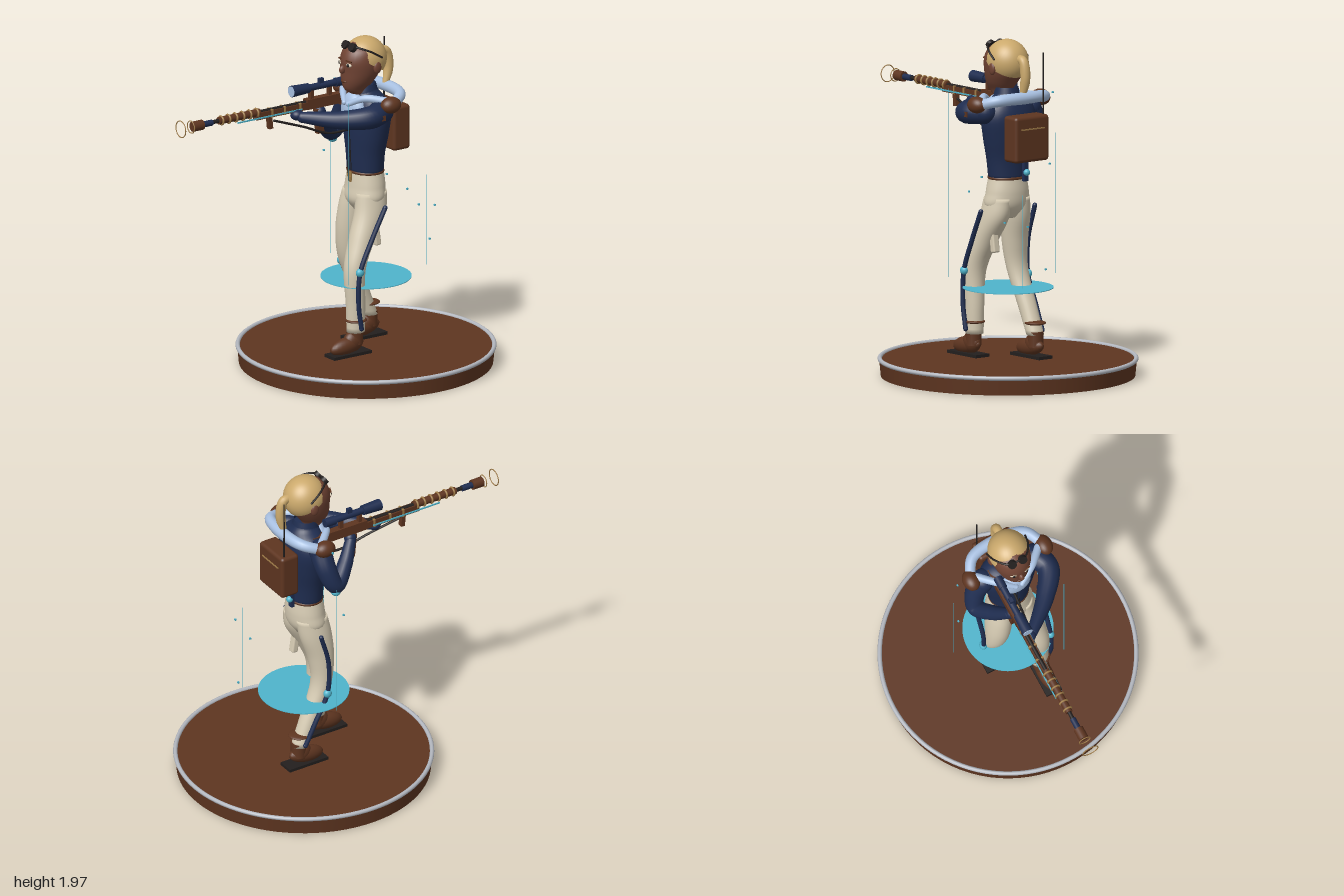
import * as THREE from 'three';
import { RoundedBoxGeometry } from 'three/addons/geometries/RoundedBoxGeometry.js';

const mat = (name, color) => Object.assign(new THREE.MeshStandardMaterial({ color, side: THREE.DoubleSide }), { name });
const V = (p) => new THREE.Vector3(...p);

export function createModel() {
  const navy = mat('navy cloth', 0x1f2d50), brown = mat('brown leather', 0x5e3520), skin = mat('skin', 0x704333);
  const blonde = mat('blonde hair', 0xcba96c), cream = mat('cream cloth', 0xd6cbb3), pale = mat('pale blue', 0xa9c1e2);
  const cyan = mat('cyan', 0x4fb4cc), black = mat('black', 0x231f1e), silver = mat('silver', 0xb4b8c0);
  const gold = mat('gold', 0xa07c48);
  const root = new THREE.Group();
  root.name = 'marksman';

  const add = (name, geo, material, pos = [0, 0, 0], rot = [0, 0, 0], scale = [1, 1, 1]) => {
    const m = new THREE.Mesh(geo, material);
    m.name = name;
    m.position.set(...pos);
    m.rotation.set(...rot);
    m.scale.set(...scale);
    root.add(m);
    return m;
  };
  const box = (name, size, material, pos, rot) => add(name, new THREE.BoxGeometry(...size), material, pos, rot);
  const ball = (name, r, material, pos, rot) => add(name, new THREE.SphereGeometry(1, 24, 16), material, pos, rot, r);
  // Cylinder lying along z, from z0 to z1
  const rod = (name, x, y, z0, z1, r, material, r1 = r) =>
    add(name, new THREE.CylinderGeometry(r1, r, z1 - z0, 20), material, [x, y, (z0 + z1) / 2], [Math.PI / 2, 0, 0]);
  const ring = (name, r, t, material, pos, rot) => add(name, new THREE.TorusGeometry(r, t, 8, 40), material, pos, rot);

  // Smooth body from horizontal ellipses [x, y, z, rx, rz], listed upwards
  const loft = (name, sections, material, n = 28, steps = 28) => {
    const mid = new THREE.CatmullRomCurve3(sections.map((s) => V(s.slice(0, 3))), false, 'catmullrom');
    const rad = new THREE.CatmullRomCurve3(sections.map((s) => V([s[3], s[4], 0])), false, 'catmullrom');
    const pos = [], idx = [];
    for (let i = 0; i <= steps; i++) {
      const c = mid.getPoint(i / steps), r = rad.getPoint(i / steps);
      for (let j = 0; j < n; j++) {
        const a = (j / n) * Math.PI * 2, k = (j + 1) % n;
        pos.push(c.x + r.x * Math.cos(a), c.y, c.z + r.y * Math.sin(a));
        if (i < steps) {
          const p = i * n + j, q = i * n + k;
          idx.push(p, p + n, q, q, p + n, q + n);
        }
      }
    }
    const last = steps * n, lo = (steps + 1) * n;
    pos.push(...sections[0].slice(0, 3), ...sections[sections.length - 1].slice(0, 3));
    for (let j = 0; j < n; j++) {
      const k = (j + 1) % n;
      idx.push(lo, j, k, lo + 1, last + k, last + j);
    }
    const g = new THREE.BufferGeometry();
    g.setAttribute('position', new THREE.Float32BufferAttribute(pos, 3));
    g.setIndex(idx);
    g.computeVertexNormals();
    return add(name, g, material);
  };

  // Round tube along a path, its radius following a list, with rounded ends
  const limb = (name, pts, radii, material, ends = true, sides = 16) => {
    const steps = 36, curve = new THREE.CatmullRomCurve3(pts.map(V));
    const g = new THREE.TubeGeometry(curve, steps, 1, sides), p = g.attributes.position, nn = g.attributes.normal;
    for (let v = 0; v < p.count; v++) {
      const u = Math.floor(v / (sides + 1)) / steps, f = u * (radii.length - 1), i = Math.min(Math.floor(f), radii.length - 2);
      const r = radii.length > 1 ? THREE.MathUtils.lerp(radii[i], radii[i + 1], f - i) : radii[0];
      const c = curve.getPointAt(u);
      p.setXYZ(v, c.x + nn.getX(v) * r, c.y + nn.getY(v) * r, c.z + nn.getZ(v) * r);
    }
    add(name, g, material);
    if (ends) [[0, 0], [pts.length - 1, radii.length - 1]].forEach(([a, b]) => {
      ball(name + 'End', [radii[b], radii[b], radii[b]], material, pts[a]);
    });
  };

  // Display base
  const cz = -0.245;
  add('base', new THREE.CylinderGeometry(0.748, 0.738, 0.1, 80), brown, [0, 0.05, cz]);
  add('baseRim', new THREE.TorusGeometry(0.744, 0.013, 10, 96), silver, [0, 0.1, cz], [Math.PI / 2, 0, 0]);

  // Floating disc, thin beams and sparks
  add('floatingDisc', new THREE.CylinderGeometry(0.265, 0.265, 0.004, 64), cyan, [0, 0.518, cz]);
  [[-0.355, -0.245, 1.39], [0.22, 0.035, 1.67], [0.15, -0.568, 1.11]].forEach(([x, z, top]) =>
    add('beam', new THREE.CylinderGeometry(0.002, 0.002, top - 0.565, 6), cyan, [x, (top + 0.565) / 2, z]));
  [[-0.325, 1.63, -0.255], [0.335, 1.12, -0.3], [0.265, 0.96, -0.545], [0.055, 0.68, -0.66], [0.2, 1.185, -0.25],
    [0.1, 0.92, -0.55], [-0.35, 1.2, -0.195]].forEach((p) => box('spark', [0.01, 0.01, 0.01], cyan, p));

  // Trousers
  const thigh = (s) => [[s * 0.095, 0.78, s > 0 ? -0.145 : -0.19, 0.075, 0.08], [s * 0.08, 0.93, -0.215, 0.077, 0.1], [s * 0.065, 1.05, -0.235, 0.07, 0.1]];
  loft('leftLeg', [[0.12, 0.24, -0.085, 0.052, 0.054], [0.12, 0.4, -0.085, 0.055, 0.058], [0.113, 0.61, -0.083, 0.065, 0.064], ...thigh(1)], cream);
  loft('rightLeg', [[-0.118, 0.24, -0.35, 0.052, 0.05], [-0.115, 0.4, -0.283, 0.055, 0.056], [-0.108, 0.61, -0.198, 0.065, 0.06], ...thigh(-1)], cream);
  loft('hips', [[0, 0.93, -0.23, 0.05, 0.06], [0, 1.0, -0.23, 0.14, 0.105], [0, 1.08, -0.238, 0.136, 0.108], [0, 1.17, -0.24, 0.118, 0.1]], cream);

  // Side stripes, knee studs, ankle straps and boots
  limb('leftStripe', [[0.198, 0.98, -0.24], [0.192, 0.8, -0.15], [0.187, 0.61, -0.07], [0.186, 0.42, -0.06], [0.184, 0.27, -0.082]], [0.014], navy, true, 8);
  limb('rightStripe', [[-0.196, 0.98, -0.25], [-0.19, 0.78, -0.195], [-0.184, 0.575, -0.2], [-0.18, 0.4, -0.28], [-0.175, 0.26, -0.345]], [0.014], navy, true, 8);
  ball('leftKneeStud', [0.022, 0.026, 0.026], cyan, [0.186, 0.613, -0.07]);
  ball('rightKneeStud', [0.022, 0.026, 0.026], cyan, [-0.186, 0.575, -0.2]);
  [[0.123, -0.03, -0.085], [-0.117, -0.315, -0.36]].forEach(([x, z, ankle], i) => {
    ball('ankleStrap', [0.062, 0.014, 0.066], brown, [x, 0.31, i ? ankle + 0.01 : ankle]);
    box('sole', [0.1, 0.018, 0.265], black, [x, 0.115, z]);
    ball('bootToe', [0.046, 0.05, 0.115], brown, [x, 0.165, z + 0.01], [0.14, 0, 0]);
    ball('bootHeel', [0.046, 0.062, 0.065], brown, [x, 0.185, ankle + 0.02]);
    add('bootShaft', new THREE.CylinderGeometry(0.046, 0.046, 0.09, 20), brown, [x, 0.215, ankle + 0.005]);
  });
  add('thighPouch', new RoundedBoxGeometry(0.045, 0.13, 0.04, 2, 0.01), cream, [0.1, 0.795, -0.243], [0.15, 0, 0]);

  // Jacket, belt and zip
  loft('jacket', [[0, 1.16, -0.24, 0.12, 0.099], [0, 1.28, -0.24, 0.135, 0.104], [0, 1.4, -0.245, 0.162, 0.115], [0, 1.52, -0.25, 0.18, 0.118],
    [0, 1.6, -0.25, 0.15, 0.098], [0, 1.645, -0.24, 0.085, 0.078], [0, 1.67, -0.235, 0.07, 0.07]], navy);
  add('belt', new THREE.TorusGeometry(1, 0.06, 8, 48), brown, [0, 1.167, -0.24], [Math.PI / 2, 0, 0], [0.117, 0.098, 0.15]);
  box('buckle', [0.04, 0.035, 0.012], gold, [-0.01, 1.152, -0.137]);
  box('buckleTag', [0.024, 0.03, 0.01], gold, [0, 1.125, -0.13]);
  limb('zip', [[0, 1.18, -0.139], [0, 1.28, -0.134], [0, 1.4, -0.129], [0, 1.5, -0.131]], [0.003], black, false, 6);
  limb('cord', [[0.01, 1.31, -0.122], [0.01, 1.22, -0.11], [0.01, 1.12, -0.115]], [0.003], black, false, 6);
  add('collar', new THREE.CylinderGeometry(0.066, 0.078, 0.05, 28, 1, true), navy, [0, 1.67, -0.235]);

  // Scarf in front and shawl roll round the back of the shoulders
  ball('scarf', [0.1, 0.115, 0.062], pale, [0, 1.535, -0.16]);
  limb('shawl', [[-0.235, 1.61, -0.27], [-0.17, 1.64, -0.365], [0, 1.645, -0.395], [0.17, 1.64, -0.365], [0.235, 1.61, -0.27]], [0.03, 0.034, 0.036, 0.034, 0.03], pale);
  [-1, 1].forEach((s) => {
    limb('scarfEdge', [[s * 0.2, 1.625, -0.25], [s * 0.11, 1.635, -0.16], [s * 0.02, 1.59, -0.105]], [0.024, 0.022, 0.015], pale);
    ball('shoulderPad', [0.05, 0.048, 0.065], brown, [s * 0.238, 1.612, -0.252], [0, 0, -s * 0.5]);
  });

  // Arms
  limb('leftArm', [[0.165, 1.56, -0.24], [0.205, 1.55, -0.14], [0.11, 1.535, 0.01], [-0.055, 1.54, 0.17]], [0.07, 0.066, 0.056, 0.045, 0.032], navy);
  ball('leftHand', [0.04, 0.032, 0.04], navy, [-0.085, 1.55, 0.185]);
  limb('rightArm', [[-0.165, 1.56, -0.24], [-0.222, 1.45, -0.23], [-0.245, 1.345, -0.18], [-0.185, 1.42, -0.08], [-0.12, 1.52, 0]], [0.068, 0.06, 0.05, 0.044, 0.032], navy);
  ball('rightHand', [0.034, 0.038, 0.036], navy, [-0.11, 1.53, 0.005]);
  ball('elbowStud', [0.028, 0.024, 0.028], cyan, [-0.25, 1.302, -0.185]);
  box('armPatch', [0.01, 0.03, 0.05], brown, [0.262, 1.55, -0.17], [0, -0.1, 0]);

  // Head and face
  loft('head', [[0, 1.64, -0.2, 0.05, 0.055], [0, 1.672, -0.178, 0.058, 0.078], [0, 1.72, -0.188, 0.086, 0.103], [0, 1.78, -0.207, 0.107, 0.124],
    [0, 1.85, -0.218, 0.115, 0.136], [0, 1.91, -0.225, 0.099, 0.117], [0, 1.95, -0.23, 0.05, 0.07]], skin);
  ball('nose', [0.016, 0.026, 0.022], skin, [0, 1.8, -0.078], [-0.3, 0, 0]);
  ball('lips', [0.026, 0.009, 0.01], brown, [0, 1.726, -0.087]);
  [-1, 1].forEach((s) => {
    ball('eyeWhite', [0.02, 0.011, 0.008], cream, [s * 0.043, 1.832, -0.092], [0, s * 0.35, 0]);
    ball('iris', [0.009, 0.01, 0.005], black, [s * 0.043, 1.832, -0.085], [0, s * 0.35, 0]);
    box('eyebrow', [0.04, 0.007, 0.008], brown, [s * 0.044, 1.856, -0.09], [0, s * 0.35, -s * 0.12]);
    ball('ear', [0.014, 0.036, 0.026], skin, [s * 0.117, 1.81, -0.243]);
    // Goggles pushed up on the hair
    add('goggleLens', new THREE.CylinderGeometry(0.025, 0.027, 0.024, 20), black, [s * 0.034, 1.932, -0.125], [1.0, 0, 0]);
  });
  add('hair', new THREE.SphereGeometry(1, 36, 24, 0, Math.PI * 2, 0, Math.PI * 0.57), blonde, [0, 1.845, -0.238], [-0.52, 0, 0], [0.122, 0.128, 0.13]);
  limb('goggleStrap', [[-0.125, 1.87, -0.27], [-0.108, 1.912, -0.2], [-0.055, 1.938, -0.135], [0.055, 1.938, -0.135], [0.108, 1.912, -0.2], [0.125, 1.87, -0.27]], [0.006], black, true, 8);
  limb('ponytail', [[0, 1.87, -0.345], [0, 1.86, -0.385], [0, 1.77, -0.405], [0, 1.64, -0.378]], [0.025, 0.03, 0.028, 0.014], blonde);

  // Backpack with flap trim, antenna and hanging strap
  add('backpack', new RoundedBoxGeometry(0.25, 0.27, 0.12, 3, 0.02), brown, [0, 1.415, -0.415]);
  box('packTrim', [0.17, 0.008, 0.006], gold, [0, 1.475, -0.476]);
  add('antenna', new THREE.CylinderGeometry(0.004, 0.005, 0.39, 8), black, [-0.1, 1.715, -0.445]);
  box('packStrap', [0.03, 0.14, 0.02], navy, [-0.04, 1.22, -0.355]);
  ball('packStud', [0.02, 0.02, 0.02], cyan, [-0.04, 1.202, -0.368]);

  // Long rifle along z
  const gx = -0.107;
  box('receiver', [0.045, 0.06, 0.27], brown, [gx, 1.595, -0.025]);
  box('stock', [0.04, 0.075, 0.12], brown, [gx, 1.585, -0.2]);
  box('forestock', [0.042, 0.042, 0.36], brown, [gx, 1.588, 0.29]);
  rod('barrel', gx, 1.607, 0.1, 0.86, 0.012, black);
  rod('handguard', gx, 1.607, 0.44, 0.73, 0.022, brown);
  for (let i = 0; i < 6; i++) ring('barrelRing', 0.024, 0.006, gold, [gx, 1.607, 0.46 + i * 0.05]);
  [0.16, 0.27, 0.36].forEach((z) => box('stockBand', [0.048, 0.05, 0.012], gold, [gx, 1.59, z]));
  rod('muzzleSleeve', gx, 1.605, 0.775, 0.845, 0.018, navy);
  rod('muzzleBrake', gx, 1.605, 0.845, 0.915, 0.03, brown);
  ring('innerMuzzleHalo', 0.036, 0.003, gold, [gx, 1.605, 0.925]);
  ring('outerMuzzleHalo', 0.049, 0.003, gold, [gx, 1.605, 0.997]);
  [-1, 1].forEach((s) => box('energyLine', [0.006, 0.008, 0.46], cyan, [gx + s * 0.024, 1.578, 0.38]));
  box('foregrip', [0.03, 0.07, 0.025], brown, [gx, 1.53, 0.365], [0.1, 0, 0]);
  box('magazine', [0.03, 0.15, 0.045], brown, [gx, 1.48, 0.015], [0.1, 0, 0]);
  limb('sling', [[gx + 0.01, 1.54, 0.34], [-0.06, 1.48, 0.16], [-0.03, 1.42, 0], [-0.02, 1.42, -0.13]], [0.007], black, true, 8);

  // Scope
  rod('scopeTube', gx, 1.69, -0.16, 0.12, 0.02, navy);
  rod('scopeFront', gx, 1.69, 0.09, 0.21, 0.029, navy, 0.034);
  rod('scopeEyepiece', gx, 1.69, -0.17, -0.1, 0.026, navy);
  rod('scopeLens', gx, 1.69, 0.21, 0.213, 0.031, pale);
  box('scopeKnob', [0.022, 0.04, 0.03], navy, [gx, 1.715, 0]);
  [-0.06, 0.07].forEach((z) => box('scopeMount', [0.025, 0.07, 0.022], brown, [gx, 1.65, z]));
  return root;
}
